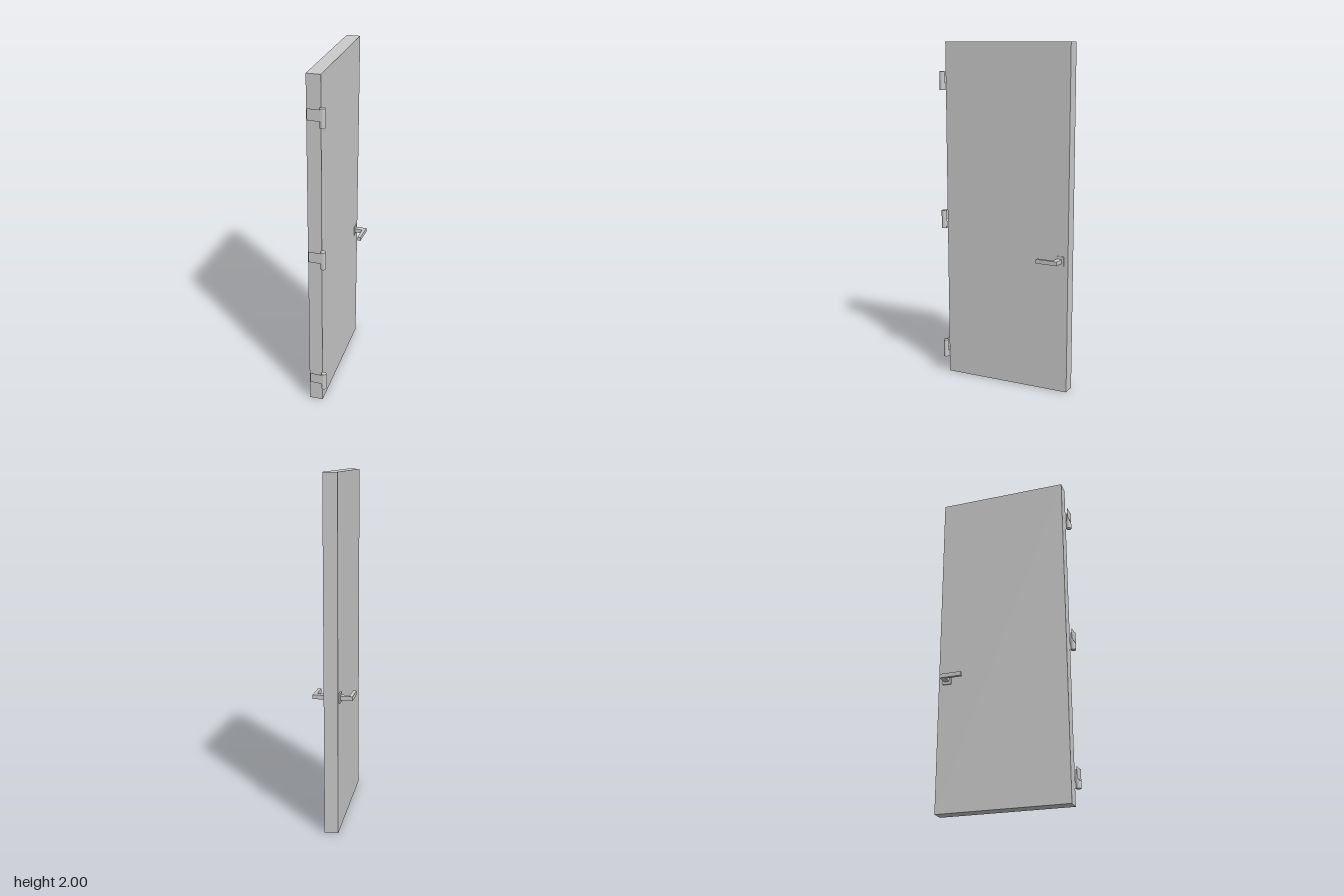
import * as THREE from 'three';

const grey = new THREE.MeshStandardMaterial({ color: 0xcccccc, flatShading: true });
const thin = new THREE.MeshStandardMaterial({ color: 0xcccccc, flatShading: true, side: THREE.DoubleSide });

function add(parent, name, geometry, x, y, z, material = grey) {
  const mesh = new THREE.Mesh(geometry, material);
  mesh.name = name;
  mesh.position.set(x, y, z);
  parent.add(mesh);
  return mesh;
}

// Lever handle: origin on the door face, side = +1 or -1 for its outward x direction
function makeHandle(name, side, reach) {
  const handle = new THREE.Group();
  handle.name = name;
  const height = 0.024, leverWidth = 0.02, stemDepth = 0.031;

  // Backplate
  add(handle, 'backplate', new THREE.BoxGeometry(0.012, 0.055, 0.054), 0, 0, 0);

  // L-shaped stem and lever in one extruded outline (x outward, y along the door)
  const outline = new THREE.Shape([
    [0, -stemDepth / 2], [reach, -stemDepth / 2], [reach, 0.115],
    [reach - leverWidth, 0.115], [reach - leverWidth, stemDepth / 2], [0, stemDepth / 2],
  ].map(([x, z]) => new THREE.Vector2(side * x, z)));
  const geometry = new THREE.ExtrudeGeometry(outline, { depth: height, bevelEnabled: false });
  geometry.rotateX(Math.PI / 2);
  add(handle, 'lever', geometry, 0, height / 2, 0);
  return handle;
}

// Hinge with its foot at y = 0
function makeHinge() {
  const hinge = new THREE.Group();
  hinge.name = 'hinge';
  add(hinge, 'hingePin', new THREE.CylinderGeometry(0.0155, 0.0155, 0.106, 12), 0.084, 0.053, 0.386);
  // Frame leaf, touching the pin at the front
  add(hinge, 'frameLeaf', new THREE.BoxGeometry(0.079, 0.063, 0.001), 0.0445, 0.0695, 0.401, thin);
  // Door leaf, let into the door edge behind the pin
  add(hinge, 'doorLeaf', new THREE.BoxGeometry(0.05, 0.04, 0.001), 0.06, 0.02, 0.37, thin);
  return hinge;
}

export function createModel() {
  const model = new THREE.Group();
  model.name = 'door';

  // Door panel, slightly ajar
  const panel = add(model, 'panel', new THREE.BoxGeometry(0.0785, 2, 0.775), 0.0155, 1, -0.0155);
  panel.rotation.y = 0.04;

  // Hinges
  for (const y of [0.099, 0.91, 1.727]) {
    const hinge = makeHinge();
    hinge.position.y = y;
    model.add(hinge);
  }

  // Handles on both faces
  const left = makeHandle('leftHandle', 1, 0.071);
  left.position.set(0.04, 0.784, -0.352);
  const right = makeHandle('rightHandle', -1, 0.074);
  right.position.set(-0.0395, 0.784, -0.349);
  right.rotation.y = 0.02;
  model.add(left, right);

  return model;
}
